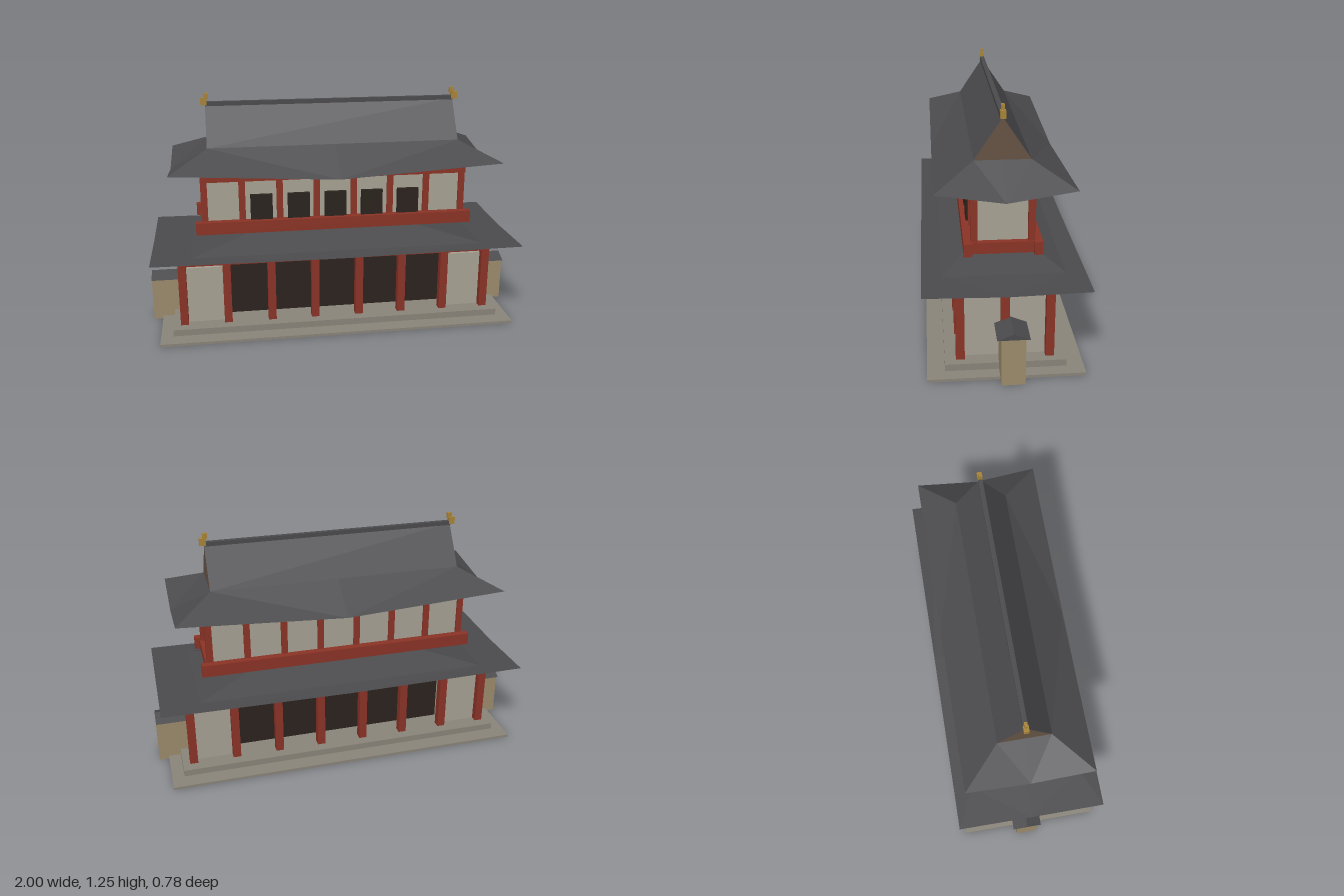
import * as THREE from 'three';

const mat = (color, extra = {}) => new THREE.MeshStandardMaterial({ color, ...extra });
const red = mat(0x8b3326), plaster = mat(0xa8a294), dark = mat(0x2b231e), stone = mat(0x8a857a);
const earth = mat(0x9c8c6c), gold = mat(0xa88438);
const tile = mat(0x4b4b4e, { side: THREE.DoubleSide, flatShading: true });
const gableWood = mat(0x665345, { side: THREE.DoubleSide });

export function createModel() {
  const model = new THREE.Group();

  const add = (name, geometry, material) => {
    const mesh = new THREE.Mesh(geometry, material);
    mesh.name = name;
    model.add(mesh);
    return mesh;
  };
  // Box given by its minimum and maximum on each axis
  const box = (name, material, x0, x1, y0, y1, z0, z1) => {
    const mesh = add(name, new THREE.BoxGeometry(x1 - x0, y1 - y0, z1 - z0), material);
    mesh.position.set((x0 + x1) / 2, (y0 + y1) / 2, (z0 + z1) / 2);
    return mesh;
  };
  const slab = (name, material, hx, y0, y1, hz) => box(name, material, -hx, hx, y0, y1, -hz, hz);
  const post = (name, x, z, w, y0, y1) => box(name, red, x - w / 2, x + w / 2, y0, y1, z - w / 2, z + w / 2);

  // Surface made of triangles, three points each
  const surface = (name, points, material) => {
    const geometry = new THREE.BufferGeometry().setFromPoints(points);
    geometry.computeVertexNormals();
    return add(name, geometry, material);
  };
  const v = (x, y, z) => new THREE.Vector3(x, y, z);
  // Rectangular ring of corners and edge middles, with its own height for each
  const ring = (hx, hz, yCorner, yMid) =>
    [[1, 1], [1, 0], [1, -1], [0, -1], [-1, -1], [-1, 0], [-1, 1], [0, 1]]
      .map(([sx, sz]) => v(sx * hx, sx && sz ? yCorner : yMid, sz * hz));
  // Roof skirt between two rings, folded from edge middles to inner corners
  const skirt = (a, b) => {
    const points = [];
    for (let i = 0; i < 8; i++) {
      const j = (i + 1) % 8;
      if (i % 2 === 0) points.push(a[i], a[j], b[i], a[j], b[j], b[i]);
      else points.push(a[i], a[j], b[j], a[i], b[j], b[i]);
    }
    return points;
  };

  // Stone platform
  slab('platformBase', stone, 0.95, 0, 0.015, 0.375);
  slab('platformStep', stone, 0.885, 0.015, 0.05, 0.29);

  // Lower storey
  slab('lowerDoors', dark, 0.605, 0.05, 0.375, 0.115);
  for (const s of [1, -1]) {
    const xs = [s * 0.6, s * 0.81].sort((a, b) => a - b);
    box('lowerWall', plaster, xs[0], xs[1], 0.05, 0.36, -0.2, 0.2);
    for (const x of [0.12, 0.355, 0.592, 0.825])
      for (const z of [0.215, -0.215]) post('lowerColumn', s * x, z, 0.042, 0.05, 0.386);
    post('lowerSideColumn', s * 0.825, 0, 0.042, 0.05, 0.386);
  }
  slab('lowerBeam', red, 0.845, 0.385, 0.425, 0.242);

  // Lower roof: nearly flat eaves rising to the balcony
  const eave = ring(0.975, 0.39, 0.455, 0.446);
  const kink = ring(0.77, 0.295, 0.453, 0.453);
  const top = ring(0.32, 0.03, 0.54, 0.54);
  surface('lowerRoof', [...skirt(eave, kink), ...skirt(kink, top)], tile);

  // Balcony
  slab('balconyFloor', red, 0.715, 0.54, 0.597, 0.16);
  for (const s of [1, -1]) {
    const mesh = box('balconyBeam', red, -0.74, 0.74, 0.537, 0.602, -0.02, 0.02);
    mesh.position.z = s * 0.168;
  }

  // Upper storey
  slab('upperWall', plaster, 0.685, 0.597, 0.815, 0.145);
  for (const s of [1, -1])
    for (const x of [0.1, 0.297, 0.495, 0.692])
      for (const z of [0.137, -0.137]) post('upperColumn', s * x, z, 0.034, 0.597, 0.815);
  slab('upperBeam', red, 0.71, 0.813, 0.842, 0.162);
  for (let i = -2; i <= 2; i++)
    box('upperWindow', dark, i * 0.197 - 0.058, i * 0.197 + 0.058, 0.6, 0.738, 0.14, 0.164);

  // Upper roof: sagging eaves, a steep gabled top and a ridge
  const gx = 0.665, gz = 0.135, gy = 0.99, ridgeY = 1.192;
  const roof = skirt(ring(0.862, 0.325, 0.9, 0.85), ring(gx, gz, gy, gy));
  for (const s of [1, -1]) {
    const a = v(-s * gx, gy, s * gz), b = v(s * gx, gy, s * gz);
    const c = v(s * gx, ridgeY, 0), d = v(-s * gx, ridgeY, 0);
    roof.push(a, b, c, a, c, d);
    surface('gable', [v(s * gx, gy, s * gz), v(s * gx, gy, -s * gz), v(s * gx, ridgeY, 0)], gableWood);
  }
  surface('upperRoof', roof, tile);
  slab('ridge', tile, gx, 1.185, 1.207, 0.012);

  // Ridge-end ornaments, with the tips set inwards
  for (const s of [1, -1]) {
    const ornament = box('ridgeOrnament', gold, -0.016, 0.016, 1.19, 1.228, -0.013, 0.013);
    ornament.position.x = s * 0.672;
    const tip = box('ornamentTip', gold, -0.012, 0.012, 1.222, 1.252, -0.008, 0.008);
    tip.position.x = s * 0.659;
  }

  // Earthen side walls with small tiled gables
  const cap = new THREE.Shape([[-0.077, 0.238], [0.077, 0.238], [0, 0.27]].map(p => new THREE.Vector2(...p)));
  for (const s of [1, -1]) {
    const wall = box('sideWall', earth, -0.08, 0.08, 0, 0.24, -0.08, 0.033);
    wall.position.x = s * 0.92;
    const capGeometry = new THREE.ExtrudeGeometry(cap, { depth: 0.16, bevelEnabled: false });
    capGeometry.translate(0, 0, -0.08).rotateY(Math.PI / 2);
    add('sideWallRoof', capGeometry, tile).position.set(s * 0.92, 0, -0.0235);
  }
  return model;
}
